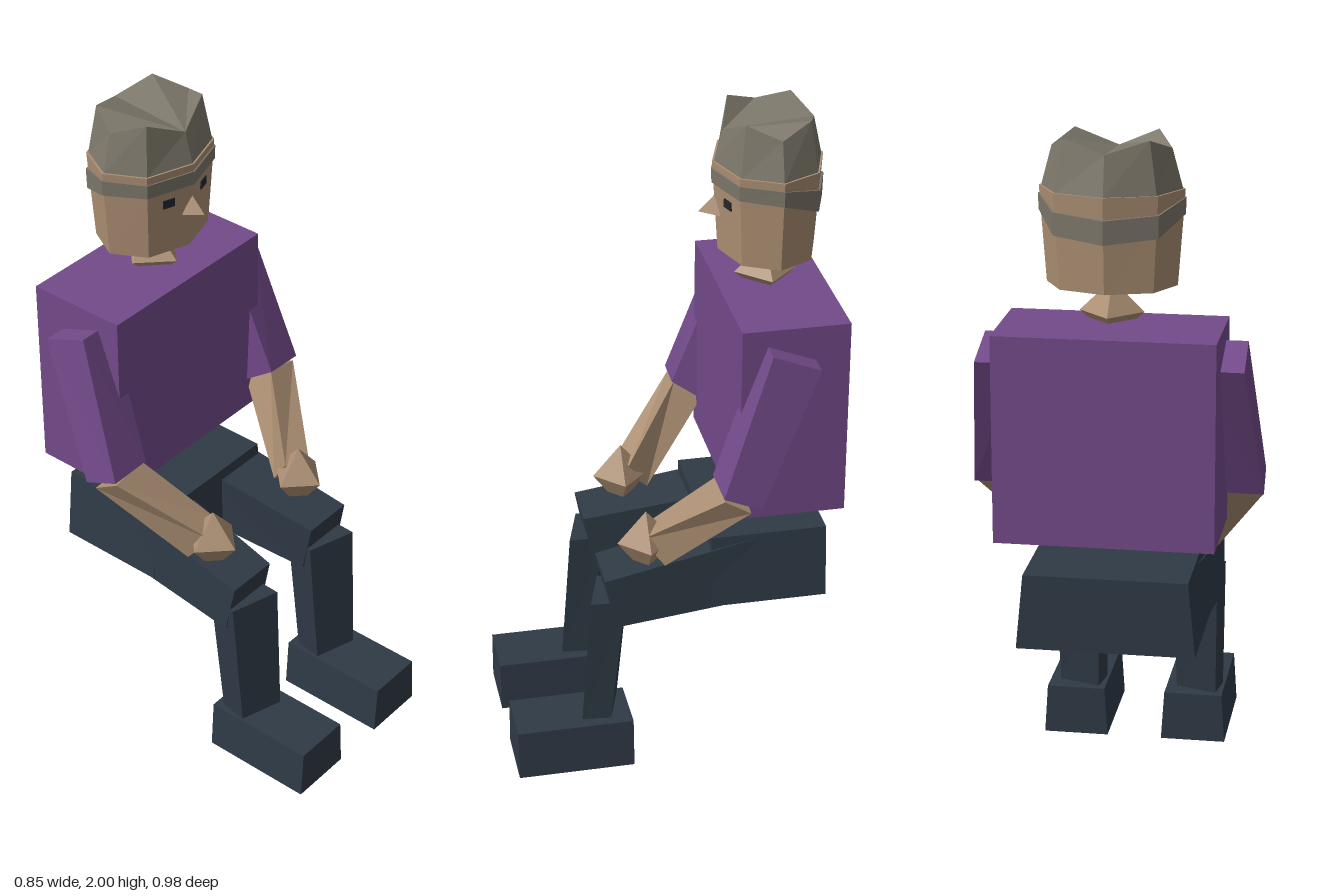
import * as THREE from 'three';

const material = (name, color) => {
  const m = new THREE.MeshStandardMaterial({ color, flatShading: true });
  m.name = name;
  return m;
};

// Closed solid through cross-sections with equal corner counts; faces always point outward.
function loft(sections) {
  const n = sections[0].length, tris = [];
  for (let s = 0; s < sections.length - 1; s++) {
    const a = sections[s], b = sections[s + 1];
    for (let i = 0; i < n; i++) {
      const j = (i + 1) % n;
      tris.push([a[i], a[j], b[j]], [a[i], b[j], b[i]]);
    }
  }
  const first = sections[0], last = sections[sections.length - 1];
  for (let i = 1; i < n - 1; i++) {
    tris.push([first[0], first[i + 1], first[i]], [last[0], last[i], last[i + 1]]);
  }
  let volume = 0;
  for (const [a, b, c] of tris) {
    const va = new THREE.Vector3(...a), vb = new THREE.Vector3(...b), vc = new THREE.Vector3(...c);
    volume += va.dot(vb.cross(vc));
  }
  if (volume < 0) tris.forEach((t) => t.reverse());
  const geo = new THREE.BufferGeometry();
  geo.setAttribute('position', new THREE.Float32BufferAttribute(tris.flat(2), 3));
  geo.computeVertexNormals();
  return geo;
}

// Level rectangle as a cross-section
const rect = (x0, x1, y, z0, z1) => [[x0, y, z1], [x1, y, z1], [x1, y, z0], [x0, y, z0]];

// Head outline: eight corners, the first at the front; heights run front, diagonal, side, diagonal, back
const octagon = (rx, rz, heights) => Array.from({ length: 8 }, (_, i) => {
  const a = i * Math.PI / 4;
  const y = Array.isArray(heights) ? heights[Math.min(i, 8 - i)] : heights;
  return [rx * Math.sin(a), y, -0.315 + rz * Math.cos(a)];
});

export function createModel() {
  const group = new THREE.Group();
  const shirt = material('shirt purple', 0x734a8a);
  const trousers = material('trouser navy', 0x2f3a46);
  const skin = material('skin tan', 0xac8f73);
  const hair = material('hair grey', 0x7c776a);
  const dark = material('eye dark', 0x22262c);

  const add = (name, geo, mat) => {
    const mesh = new THREE.Mesh(geo, mat);
    mesh.name = name;
    group.add(mesh);
    return mesh;
  };

  // Torso and hips
  add('torso', loft([rect(-0.315, 0.315, 0.855, -0.49, -0.175), rect(-0.315, 0.315, 1.46, -0.49, -0.175)]), shirt);
  add('hips', loft([rect(-0.26, 0.26, 0.525, -0.46, -0.11), rect(-0.238, 0.238, 0.75, -0.46, -0.11)]), trousers);

  // Four-sided faceted knob used for neck and hands
  const knob = (r, base, bottom, top) => new THREE.LatheGeometry(
    [[0, bottom], [base, bottom], [r, 0], [0, top]].map(([x, y]) => new THREE.Vector2(x, y)), 4);
  add('neck', knob(0.092, 0.07, -0.02, 0.09), skin).position.set(0, 1.5, -0.315);

  for (const s of [-1, 1]) {
    const side = s > 0 ? 'left' : 'right';
    const m = (points) => points.map(([x, y, z]) => [x * s, y, z]);

    // Arms: outer front, inner front, inner back, outer back
    add(side + 'Sleeve', loft([
      m([[0.378, 1.41, -0.25], [0.26, 1.41, -0.25], [0.26, 1.355, -0.39], [0.382, 1.355, -0.39]]),
      m([[0.42, 0.99, -0.105], [0.292, 1.0, -0.1], [0.255, 0.94, -0.2], [0.425, 0.945, -0.215]]),
    ]), shirt);
    add(side + 'Forearm', loft([
      m([[0.41, 0.975, -0.11], [0.3, 1.0, -0.11], [0.28, 0.94, -0.19], [0.42, 0.935, -0.185]]),
      m([[0.235, 0.77, 0.1], [0.165, 0.79, 0.06], [0.185, 0.7, 0.0], [0.265, 0.69, 0.035]]),
    ]), skin);
    add(side + 'Hand', knob(0.086, 0.04, -0.062, 0.1), skin).position.set(0.202 * s, 0.745, 0.08);

    // Thighs
    add(side + 'Thigh', loft([
      m([[0.05, 0.53, -0.25], [0.25, 0.53, -0.25], [0.24, 0.735, -0.25], [0.05, 0.735, -0.25]]),
      m([[0.1, 0.495, 0.185], [0.27, 0.495, 0.185], [0.265, 0.655, 0.215], [0.1, 0.655, 0.215]]),
    ]), trousers);

    // Shins, both turned the same way
    const dx = s > 0 ? 0.37 : 0;
    const shift = (points) => points.map(([x, y, z]) => [x + dx, y, z]);
    add(side + 'Shin', loft([
      shift([[-0.262, 0.14, 0.246], [-0.13, 0.14, 0.287], [-0.122, 0.14, 0.2], [-0.248, 0.14, 0.16]]),
      shift([[-0.27, 0.575, 0.212], [-0.115, 0.575, 0.257], [-0.11, 0.575, 0.155], [-0.255, 0.575, 0.115]]),
    ]), trousers);

    // Feet
    const fx = s > 0 ? 0.19 : -0.18;
    add(side + 'Foot', loft([
      rect(fx - 0.1, fx + 0.1, 0, 0.135, 0.49), rect(fx - 0.09, fx + 0.09, 0.155, 0.135, 0.49),
    ]), trousers);

    // Eyes, laid on the angled cheeks
    const eye = add(side + 'Eye', new THREE.BoxGeometry(0.038, 0.026, 0.008), dark);
    eye.position.set(0.074 * s, 1.747, -0.185);
    eye.rotation.y = 0.31 * s;
  }

  // Head
  add('head', loft([octagon(0.185, 0.143, 1.58), octagon(0.2, 0.157, 1.78), octagon(0.205, 0.162, 1.853)]), skin);
  add('nose', loft([
    [[-0.031, 1.693, -0.172], [0.031, 1.693, -0.172], [0, 1.752, -0.165]],
    [[-0.001, 1.7, -0.116], [0.001, 1.7, -0.116], [0, 1.702, -0.116]],
  ]), skin);

  // Hair: lower band dipping at the back, and a jagged crown
  add('hairBand', loft([
    octagon(0.206, 0.163, [1.787, 1.787, 1.783, 1.735, 1.722]),
    octagon(0.208, 0.165, [1.83, 1.83, 1.83, 1.80, 1.79]),
  ]), hair);
  add('hairCrown', loft([
    octagon(0.199, 0.157, 1.85),
    octagon(0.168, 0.132, [1.945, 2.0, 1.965, 2.0, 1.965]),
  ]), hair);

  return group;
}
